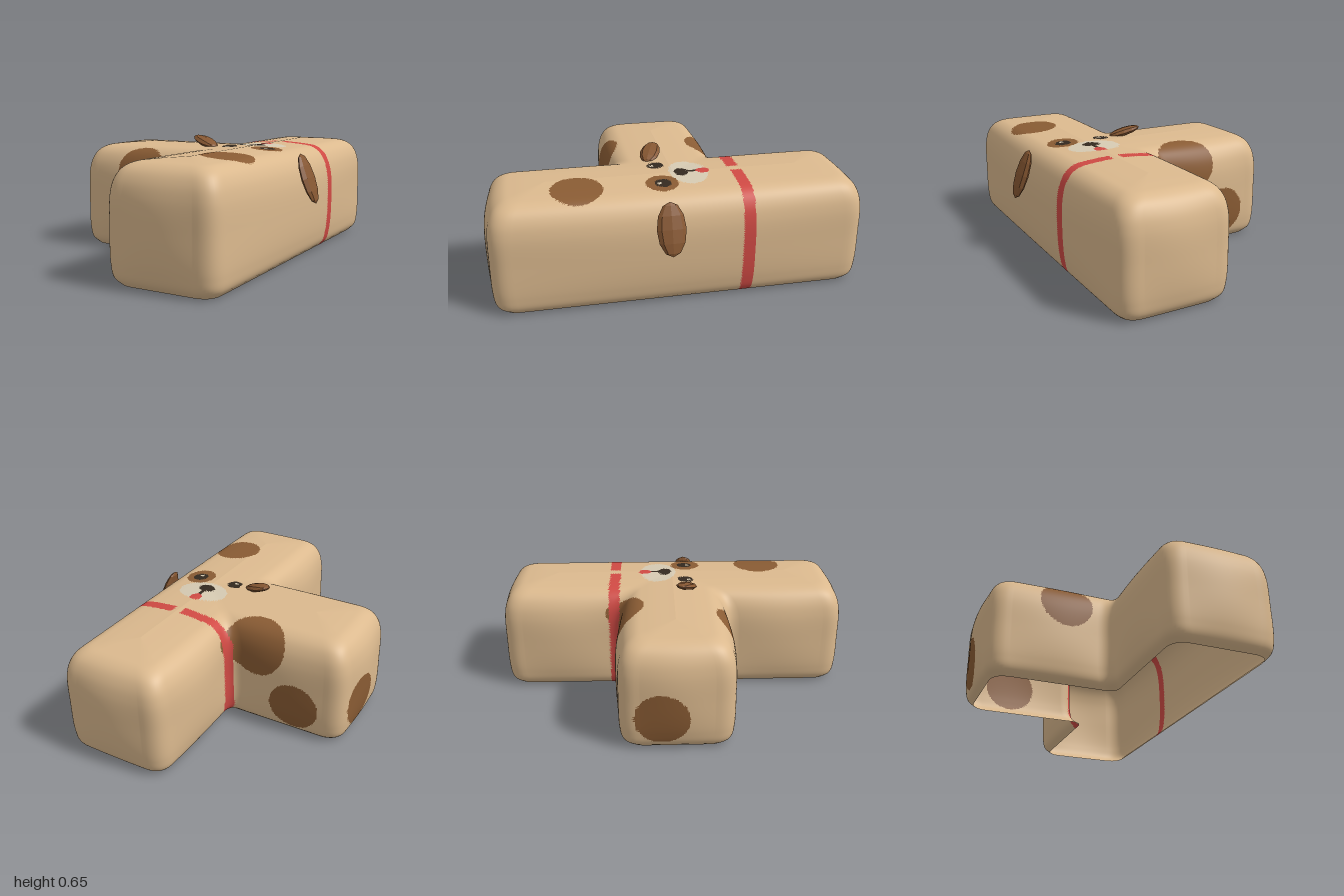
import * as THREE from 'three';

const mat = (name, color, opts = {}) => {
  const m = new THREE.MeshStandardMaterial({ color, side: THREE.DoubleSide, ...opts });
  m.name = name;
  return m;
};

// Plan of the T-shaped body as x, z corners; corners 4 and 7 are the inner ones
const HALF = 0.305;
const PLAN = [[-0.01, 0.98], [0.6, 0.98], [0.6, -0.98], [-0.01, -0.98],
  [-0.01, -HALF], [-0.68, -HALF], [-0.68, HALF], [-0.01, HALF]].map(p => new THREE.Vector2(...p));
const N = PLAN.length;
const DIRS = PLAN.map((p, i) => PLAN[(i + 1) % N].clone().sub(p).normalize());
const NORMALS = DIRS.map(d => new THREE.Vector2(-d.y, d.x));
const EDGE_STEPS = PLAN.map((p, i) => Math.round(p.distanceTo(PLAN[(i + 1) % N]) / 0.011));
const CORNER_STEPS = 10;

// One closed loop of the body, inset by d from the plan, at height y
function ring(d, y) {
  const pts = [];
  const shrink = Math.max(0, 1 - d / HALF);
  const corner = PLAN.map((p, i) => p.clone()
    .addScaledVector(NORMALS[i], -d).addScaledVector(NORMALS[(i + N - 1) % N], -d));
  const radius = i => (i === 4 || i === 7 ? 0.07 : 0.11) * shrink;
  const bulge = 0.02 * Math.max(0, Math.sin(Math.PI * y / 0.6));
  for (let i = 0; i < N; i++) {
    const j = (i + 1) % N;
    const a = corner[i].clone().addScaledVector(DIRS[i], radius(i));
    const b = corner[j].clone().addScaledVector(DIRS[i], -radius(j));
    for (let k = 0; k < EDGE_STEPS[i]; k++) {
      const t = k / EDGE_STEPS[i];
      pts.push(a.clone().lerp(b, t).addScaledVector(NORMALS[i], bulge * Math.sin(Math.PI * t)));
    }
    const c = corner[j].clone().addScaledVector(DIRS[j], radius(j));
    const bend = new THREE.QuadraticBezierCurve(b, corner[j], c);
    for (let k = 0; k < CORNER_STEPS; k++) pts.push(bend.getPoint(k / CORNER_STEPS));
  }
  return pts;
}

// Coat spots: x, y, z, radius
const SPOTS = [
  [0.41, 0.6, 0.52, 0.135],
  [0.41, 0.6, 0.08, 0.085],
  [-0.263, 0.465, 0.32, 0.15],
  [-0.16, 0.495, -0.315, 0.175],
  [-0.4, 0.18, -0.32, 0.14],
  [-0.7, 0.19, -0.08, 0.145],
];
const COAT = 0, SPOT = 1, COLLAR = 2, MUZZLE = 3, DARK = 4;

// Which colour the coat has at a point
function paint(x, y, z) {
  const oval = (cx, cz, rx, rz) => ((x - cx) / rx) ** 2 + ((z - cz) / rz) ** 2 < 1;
  if (y > 0.56) {
    for (const ex of [0.178, 0.41]) {
      if (oval(ex, 0.094, 0.012, 0.01)) return MUZZLE;
      if (oval(ex, 0.075, 0.042, 0.044)) return DARK;
    }
    if (oval(0.295, -0.043, 0.048, 0.038)) return DARK;
    if (oval(0.295, -0.16, 0.033, 0.036)) return COLLAR;
    if (Math.abs(x - 0.295) < 0.008 && z > -0.135 && z < -0.08) return DARK;
    if (oval(0.295, -0.083, 0.145, 0.103)) return MUZZLE;
  }
  const gap = y > 0.55 && x > 0.268 && x < 0.322;
  if (Math.abs(z + 0.338) < 0.031 && x > -0.035 && !gap) return COLLAR;
  for (const [sx, sy, sz, r] of SPOTS)
    if (Math.hypot(x - sx, y - sy, z - sz) < r) return SPOT;
  return COAT;
}

// Open-bottomed shell: loops follow a wall profile, then close along the centre line
function bodyGeometry() {
  const profile = new THREE.CatmullRomCurve3([[0.045, 0], [0.014, 0.035], [0.002, 0.1], [0, 0.28],
    [0.004, 0.44], [0.02, 0.51], [0.048, 0.556], [0.09, 0.583], [0.15, 0.593], [HALF, 0.604]]
    .map(([d, y]) => new THREE.Vector3(d, y, 0)), false, 'centripetal');
  const steps = 80;
  const pos = [];
  let count = 0;
  for (const { x: d, y } of profile.getSpacedPoints(steps)) {
    const loop = ring(d, y);
    count = loop.length;
    for (const p of loop) pos.push(p.x, y, p.y);
  }
  const groups = [[], [], [], [], []];
  const add = (...tri) => {
    const c = [0, 1, 2].map(k => tri.reduce((s, v) => s + pos[v * 3 + k], 0) / 3);
    groups[paint(...c)].push(...tri);
  };
  for (let v = 0; v < steps; v++) {
    for (let u = 0; u < count; u++) {
      const a = v * count + u, b = v * count + (u + 1) % count;
      add(a, b, b + count);
      add(a, b + count, a + count);
    }
  }
  const geo = new THREE.BufferGeometry();
  geo.setAttribute('position', new THREE.Float32BufferAttribute(pos, 3));
  geo.setIndex(groups.flat());
  let start = 0;
  groups.forEach((g, i) => {
    geo.addGroup(start, g.length, i);
    start += g.length;
  });
  geo.computeVertexNormals();
  return geo;
}

export function createModel() {
  const model = new THREE.Group();
  model.name = 'dogBlock';

  const coat = [
    mat('tanCoat', 0xdbb98e),
    mat('brownSpot', 0x8a5c34),
    mat('redCollar', 0xd04a44),
    mat('paleMuzzle', 0xd6cab2),
    mat('darkFeatures', 0x33291f),
  ];
  const body = new THREE.Mesh(bodyGeometry(), coat);
  body.name = 'body';
  model.add(body);

  // Flat faceted ears, one lying on top and one hanging down the side
  const earBrown = mat('earBrown', 0x865732, { side: THREE.FrontSide, flatShading: true });
  const ear = (name, pos, size, rot) => {
    const mesh = new THREE.Mesh(new THREE.SphereGeometry(1, 8, 6), earBrown);
    mesh.name = name;
    mesh.scale.set(...size);
    mesh.position.set(...pos);
    mesh.rotation.set(...rot, 'YXZ');
    model.add(mesh);
  };
  ear('topEar', [0.027, 0.62, 0.075], [0.022, 0.09, 0.055], [0, -0.4, 1.276]);
  ear('sideEar', [0.652, 0.45, 0.08], [0.024, 0.138, 0.075], [0, 0, 0.35]);

  return model;
}
